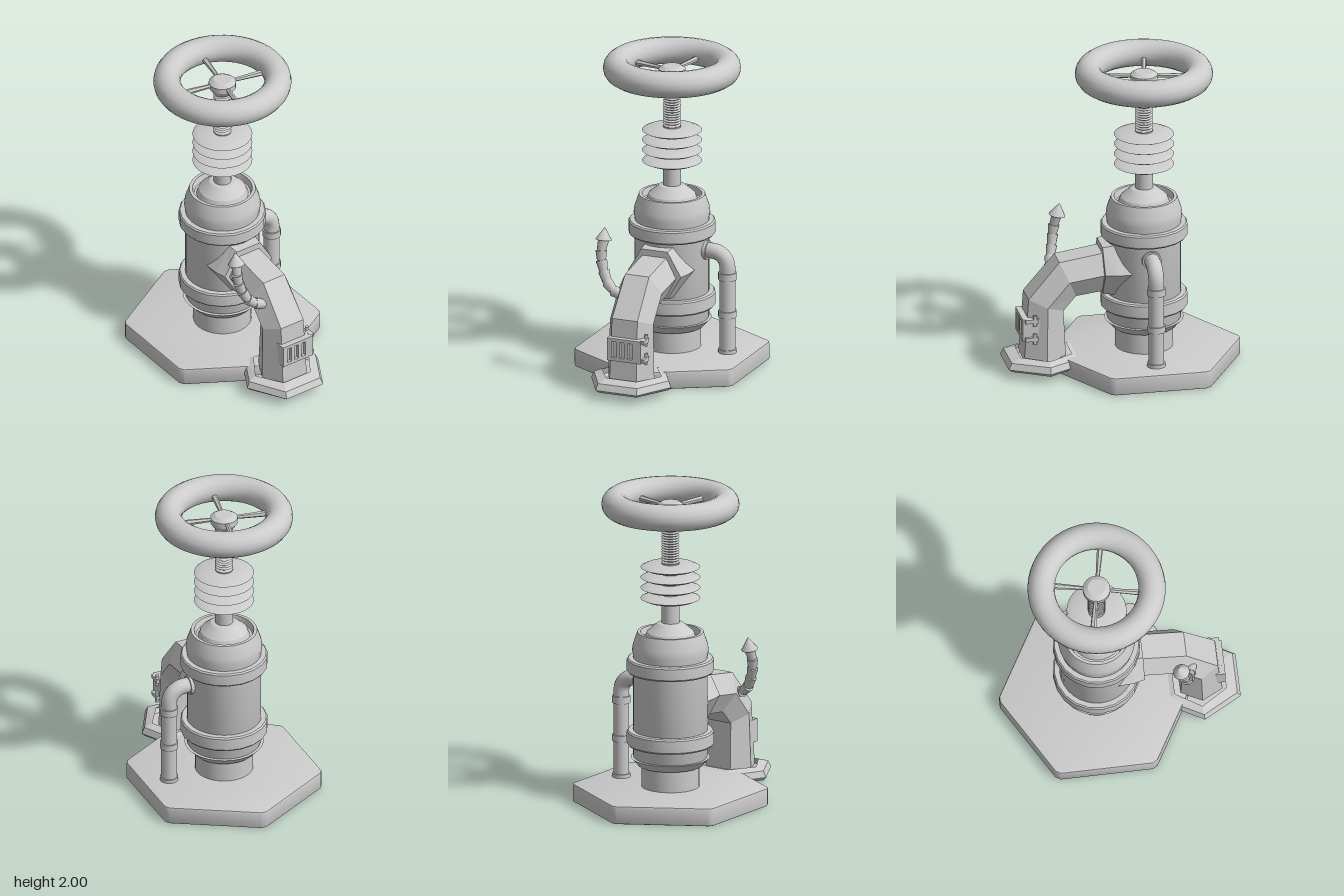
import * as THREE from 'three';
import { toCreasedNormals, mergeVertices } from 'three/addons/utils/BufferGeometryUtils.js';

const smooth = new THREE.MeshStandardMaterial({ color: 0xcccccc, side: THREE.DoubleSide });
const faceted = new THREE.MeshStandardMaterial({ color: 0xcccccc, flatShading: true, side: THREE.DoubleSide });
const AXIS_Z = -0.135;

function add(parent, name, geometry, material = smooth, pos = [0, 0, 0]) {
  const mesh = new THREE.Mesh(geometry, material);
  mesh.name = name;
  mesh.position.set(...pos);
  parent.add(mesh);
  return mesh;
}

// Turned part from [radius, y] pairs, listed bottom to top
function turned(profile, segments = 32, crease = 0.5) {
  const pts = profile.map(([r, y]) => new THREE.Vector2(r, y));
  const g = new THREE.LatheGeometry(pts, segments);
  g.deleteAttribute('normal');
  g.deleteAttribute('uv');
  return toCreasedNormals(mergeVertices(g), crease);
}

// Tapered round bar between two points
function bar(parent, name, from, to, r0, r1, sides = 10, material = smooth) {
  const a = new THREE.Vector3(...from), b = new THREE.Vector3(...to);
  const dir = b.clone().sub(a);
  const mesh = add(parent, name, new THREE.CylinderGeometry(r1, r0, dir.length(), sides), material);
  mesh.position.copy(a).add(b).multiplyScalar(0.5);
  mesh.quaternion.setFromUnitVectors(new THREE.Vector3(0, 1, 0), dir.normalize());
  return mesh;
}

// Hexagonal loft: each section gives outer [z, y], inner [z, y], flat half width, full half width
function hexLoft(sections) {
  const pos = [], index = [];
  for (const [out, inn, flat, wide] of sections) {
    for (const [x, t] of [[flat, 1], [wide, 0.5], [flat, 0], [-flat, 0], [-wide, 0.5], [-flat, 1]]) {
      pos.push(x, inn[1] + (out[1] - inn[1]) * t, inn[0] + (out[0] - inn[0]) * t);
    }
  }
  const last = (sections.length - 1) * 6;
  for (let s = 0; s < last; s += 6) {
    for (let k = 0; k < 6; k++) {
      const a = s + k, b = s + (k + 1) % 6;
      index.push(a, a + 6, b, b, a + 6, b + 6);
    }
  }
  for (let k = 1; k < 5; k++) index.push(last, last + k + 1, last + k);
  const g = new THREE.BufferGeometry();
  g.setAttribute('position', new THREE.Float32BufferAttribute(pos, 3));
  g.setIndex(index);
  g.computeVertexNormals();
  return g;
}

export function createModel() {
  const model = new THREE.Group();
  model.name = 'valvePump';

  // Hexagonal base plate with softened corners
  const hex = new THREE.Shape();
  for (let i = 0; i < 6; i++) {
    for (const side of [-1, 1]) {
      const corner = i * Math.PI / 3 + Math.PI / 2, next = corner + side * Math.PI / 3;
      const R = 0.602, t = 0.03;
      const x = R * (Math.cos(corner) * (1 - t) + Math.cos(next) * t);
      const y = R * (Math.sin(corner) * (1 - t) + Math.sin(next) * t);
      if (i === 0 && side < 0) hex.moveTo(x, y); else hex.lineTo(x, y);
    }
  }
  const plate = new THREE.ExtrudeGeometry(hex, {
    depth: 0.095, bevelEnabled: true, bevelSize: 0.01, bevelThickness: 0.01, bevelSegments: 2,
  });
  plate.rotateX(-Math.PI / 2);
  add(model, 'basePlate', toCreasedNormals(plate, 0.6), smooth, [0, 0.01, AXIS_Z]);

  // Everything on the main vertical axis
  const column = new THREE.Group();
  column.name = 'column';
  column.position.z = AXIS_Z;
  model.add(column);
  add(column, 'neck', turned([[0.18, 0.1], [0.18, 0.27]]));
  add(column, 'bottomLip', turned([[0.17, 0.25], [0.2, 0.25], [0.22, 0.275], [0.245, 0.3], [0.22, 0.3], [0.22, 0.32]]));
  add(column, 'tank', turned([
    [0.22, 0.29], [0.23, 0.31], [0.23, 0.94], [0.237, 0.98], [0.232, 1.02], [0.205, 1.1],
    [0.185, 1.1], [0.175, 1.06], [0, 1.06],
  ]));
  for (const [y0, y1] of [[0.38, 0.475], [0.845, 0.935]]) {
    add(column, 'tankBand', turned([
      [0.22, y0], [0.262, y0], [0.27, y0 + 0.01], [0.27, y1 - 0.01], [0.262, y1], [0.22, y1],
    ], 20));
  }
  add(column, 'topCap', turned([[0.16, 1.06], [0.145, 1.1], [0.08, 1.155], [0.05, 1.16]]));
  add(column, 'rod', new THREE.CylinderGeometry(0.055, 0.055, 0.4, 24), smooth, [0, 1.34, 0]);

  // Cooling fins
  for (let i = 0; i < 4; i++) {
    const y = 1.315 + i * 0.066;
    add(column, 'fin', turned([[0.05, y - 0.02], [0.15, y - 0.016], [0.185, y], [0.15, y + 0.016], [0.05, y + 0.02]], 32, 0.4));
  }

  // Threaded spindle
  const thread = [];
  for (let y = 1.52; y < 1.86; y += 0.016) thread.push([0.044, y], [0.056, y + 0.008]);
  add(column, 'threadedSpindle', turned(thread, 20));

  // Hand wheel
  const rim = new THREE.TorusGeometry(0.343, 0.084, 16, 48);
  rim.rotateX(Math.PI / 2);
  add(column, 'wheelRim', rim, smooth, [0, 1.916, 0]);
  add(column, 'wheelHub', turned([[0.055, 1.83], [0.085, 1.875], [0.085, 1.91], [0.055, 1.93], [0, 1.93]], 20));
  for (let i = 0; i < 4; i++) {
    const a = 0.2 + i * Math.PI / 2, x = Math.sin(a), z = -Math.cos(a);
    bar(column, 'wheelSpoke', [x * 0.06, 1.9, z * 0.06], [x * 0.29, 1.9, z * 0.29], 0.012, 0.02, 6, faceted);
  }

  // Side pipe with elbow and collars
  const path = new THREE.CurvePath();
  const v = (x, y) => new THREE.Vector3(x, y, 0);
  path.add(new THREE.LineCurve3(v(0.2, 0.76), v(0.27, 0.76)));
  path.add(new THREE.CubicBezierCurve3(v(0.27, 0.76), v(0.33, 0.76), v(0.372, 0.72), v(0.372, 0.66)));
  path.add(new THREE.LineCurve3(v(0.372, 0.66), v(0.372, 0.1)));
  add(column, 'sidePipe', new THREE.TubeGeometry(path, 60, 0.049, 16));
  for (const [y, h] of [[0.61, 0.045], [0.365, 0.04], [0.125, 0.025]]) {
    add(column, 'pipeCollar', new THREE.CylinderGeometry(0.057, 0.057, h, 20), smooth, [0.372, y, 0]);
  }
  bar(column, 'pipeFlange', [0.2, 0.76, 0], [0.245, 0.76, 0], 0.06, 0.06, 20);

  // Angular spout, its collar and its foot
  add(model, 'spoutCollar', hexLoft([
    [[-0.1, 0.83], [-0.1, 0.49], 0.1, 0.205],
    [[0.07, 0.82], [0.07, 0.495], 0.095, 0.195],
    [[0.144, 0.81], [0.144, 0.505], 0.088, 0.178],
  ]), faceted);
  add(model, 'spout', hexLoft([
    [[0.05, 0.78], [0.05, 0.52], 0.08, 0.145],
    [[0.144, 0.77], [0.144, 0.52], 0.08, 0.145],
    [[0.415, 0.73], [0.31, 0.5], 0.08, 0.145],
    [[0.61, 0.5], [0.39, 0.41], 0.085, 0.145],
    [[0.638, 0.1], [0.376, 0.1], 0.09, 0.155],
  ]), faceted);
  add(model, 'spoutFoot', hexLoft([
    [[0.66, 0.125], [0.34, 0.125], 0.1, 0.2],
    [[0.725, 0.105], [0.285, 0.105], 0.13, 0.25],
    [[0.745, 0.065], [0.27, 0.065], 0.138, 0.268],
    [[0.72, 0.045], [0.29, 0.045], 0.125, 0.25],
  ]), faceted);

  // Vent box on the front of the spout: backing block plus a slotted cover
  add(model, 'ventBox', new THREE.BoxGeometry(0.225, 0.145, 0.09), faceted, [0.012, 0.313, 0.59]);
  const cover = new THREE.Shape([[-0.1, 0.24], [0.125, 0.24], [0.125, 0.386], [-0.1, 0.386]].map(p => new THREE.Vector2(...p)));
  for (const x of [-0.053, 0, 0.053]) {
    cover.holes.push(new THREE.Path([[-0.015, 0.262], [-0.015, 0.364], [0.015, 0.364], [0.015, 0.262]]
      .map(([dx, y]) => new THREE.Vector2(x + dx, y))));
  }
  add(model, 'ventCover', new THREE.ExtrudeGeometry(cover, { depth: 0.02, bevelEnabled: false }), faceted, [0, 0, 0.635]);
  for (const y of [0.375, 0.255]) {
    add(model, 'ventHinge', new THREE.BoxGeometry(0.03, 0.025, 0.08), faceted, [0.128, y, 0.6]);
    add(model, 'hingePin', new THREE.CylinderGeometry(0.012, 0.012, 0.07, 8), smooth, [0.132, y, 0.58]);
  }

  // Crooked exhaust stack made of flared segments, with a pointed cap
  const stack = [
    [-0.09, 0.6, 0.45], [-0.15, 0.615, 0.43], [-0.2, 0.66, 0.415], [-0.23, 0.725, 0.4],
    [-0.25, 0.79, 0.39], [-0.255, 0.85, 0.38], [-0.245, 0.93, 0.36],
  ];
  for (let i = 0; i < stack.length - 1; i++) {
    bar(model, 'exhaustSegment', stack[i], stack[i + 1], 0.028, 0.036, 10);
  }
  bar(model, 'exhaustCap', [-0.247, 0.915, 0.362], [-0.245, 0.99, 0.347], 0.053, 0.003, 12);

  return model;
}
